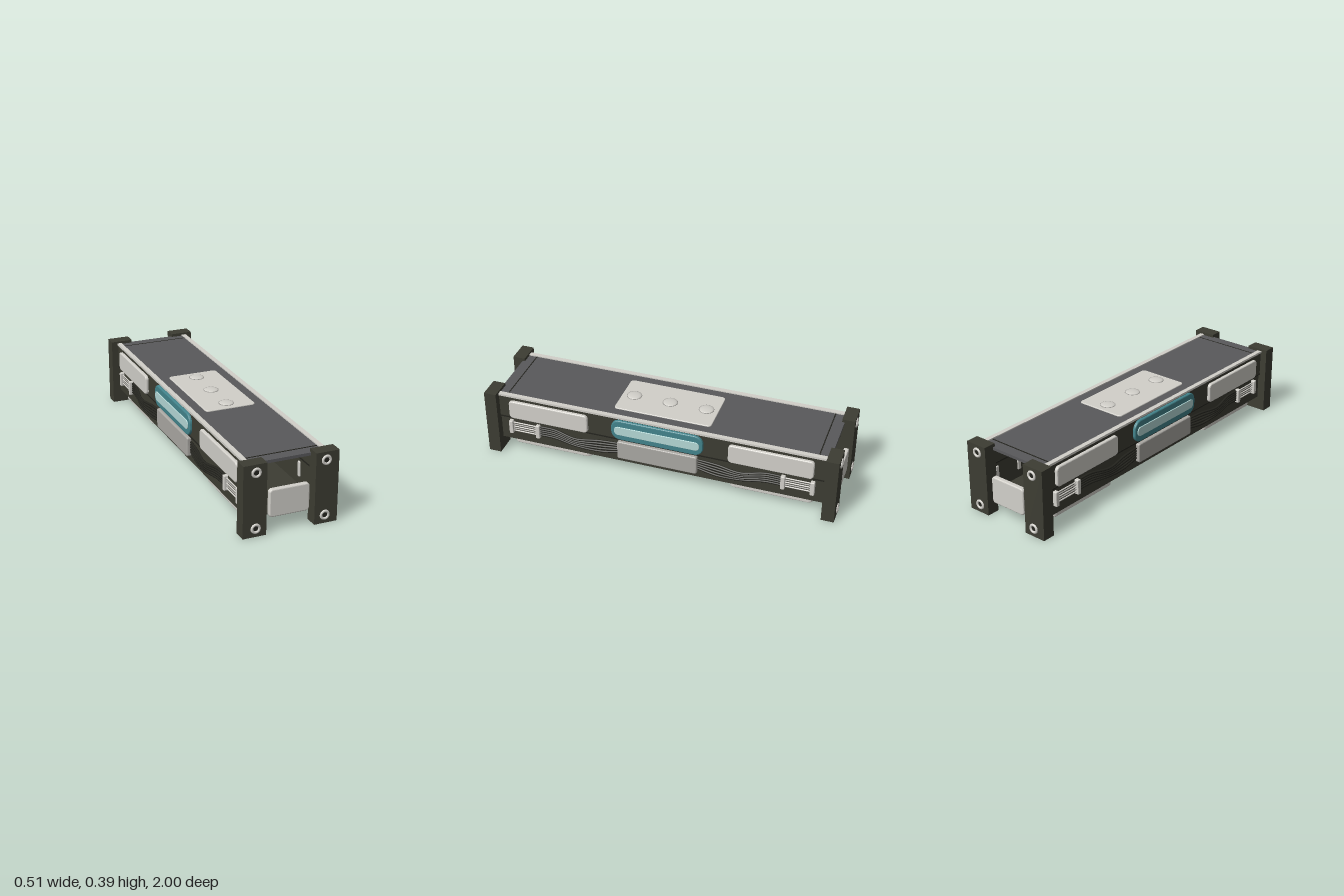
import * as THREE from 'three';

const mat = (name, color) => {
  const m = new THREE.MeshStandardMaterial({ color });
  m.name = name;
  return m;
};

export function createModel() {
  const dark = mat('darkFrame', 0x3d3d33);
  const black = mat('blackCable', 0x25251f);
  const roof = mat('roofGrey', 0x59595b);
  const light = mat('lightPanel', 0xd2d0ca);
  const mid = mat('midGrey', 0xaaa8a3);
  const teal = mat('tealFrame', 0x43848c);
  const glow = mat('paleWindow', 0xb4d8d6);

  const model = new THREE.Group();
  model.name = 'corridorModule';

  const add = (parent, name, geo, material, x = 0, y = 0, z = 0) => {
    const mesh = new THREE.Mesh(geo, material);
    mesh.name = name;
    mesh.position.set(x, y, z);
    parent.add(mesh);
    return mesh;
  };
  const box = (w, h, d) => new THREE.BoxGeometry(w, h, d);

  // Rounded, bevelled plate facing +z
  const slab = (w, h, d, r, b = 0.007) => {
    const x = w / 2, y = h / 2;
    const s = new THREE.Shape();
    s.moveTo(-x + r, -y);
    s.lineTo(x - r, -y).absarc(x - r, -y + r, r, -Math.PI / 2, 0);
    s.lineTo(x, y - r).absarc(x - r, y - r, r, 0, Math.PI / 2);
    s.lineTo(-x + r, y).absarc(-x + r, y - r, r, Math.PI / 2, Math.PI);
    s.lineTo(-x, -y + r).absarc(-x + r, -y + r, r, Math.PI, Math.PI * 1.5);
    return new THREE.ExtrudeGeometry(s, {
      depth: d - 2 * b, bevelThickness: b, bevelSize: b, bevelOffset: -b,
      bevelSegments: 3, curveSegments: 6,
    }).translate(0, 0, b - d / 2);
  };
  const sideSlab = (...a) => slab(...a).rotateY(Math.PI / 2);
  const flatSlab = (...a) => slab(...a).rotateX(-Math.PI / 2);

  // Long side: wall, fascia panels, window, cable run
  const makeSide = () => {
    const side = new THREE.Group();
    side.name = 'side';
    add(side, 'upperWall', box(0.022, 0.135, 1.86), dark, 0.207, 0.295);
    add(side, 'lowerWall', box(0.016, 0.15, 1.86), dark, 0.202, 0.153);
    add(side, 'wallLedge', box(0.026, 0.008, 1.86), black, 0.207, 0.229);
    add(side, 'topRail', box(0.026, 0.012, 1.86), light, 0.209, 0.37);
    add(side, 'windowFrame', sideSlab(0.52, 0.125, 0.026, 0.05), teal, 0.22, 0.297);
    add(side, 'windowStrip', sideSlab(0.48, 0.052, 0.008, 0.022, 0.002), glow, 0.234, 0.296);
    add(side, 'lowerPanel', sideSlab(0.455, 0.112, 0.028, 0.012), mid, 0.221, 0.165);

    for (const s of [-1, 1]) {
      add(side, 'upperPanel', sideSlab(0.465, 0.112, 0.026, 0.022), light, 0.222, 0.29, s * 0.63);
      for (const z of [0.7, 0.86])
        add(side, 'cableClamp', sideSlab(0.024, 0.084, 0.045, 0.006, 0.004), light, 0.21, 0.168, s * z);
      for (let i = 0; i < 5; i++) {
        const y = 0.142 + i * 0.0135;
        add(side, 'clampedRod', new THREE.CylinderGeometry(0.004, 0.004, 0.15, 8).rotateX(Math.PI / 2),
          i % 2 ? mid : light, 0.217, y, s * 0.78);
        // Slack cable between clamp and lower panel
        const path = new THREE.CatmullRomCurve3([
          [0.212, y, 0.7], [0.218, y + 0.004, 0.6], [0.235, y - 0.006 - i * 0.002, 0.47],
          [0.222, y - 0.02 + i * 0.004, 0.34], [0.21, y - 0.004, 0.21],
        ].map(([px, py, pz]) => new THREE.Vector3(px, py, s * pz)));
        add(side, 'slackCable', new THREE.TubeGeometry(path, 24, 0.0065, 8), black);
      }
    }
    return side;
  };

  // End: two posts with ring bolts and a barrier plate
  const makeEnd = () => {
    const end = new THREE.Group();
    end.name = 'end';
    for (const s of [-1, 1]) {
      add(end, 'cornerPost', box(0.126, 0.387, 0.07), dark, s * 0.194, 0.1935, 0.959);
      for (const y of [0.045, 0.344]) {
        add(end, 'ringBolt', new THREE.TorusGeometry(0.0205, 0.0075, 8, 16), light, s * 0.188, y, 0.9935);
        add(end, 'boltCore', new THREE.CircleGeometry(0.017, 16), black, s * 0.188, y, 0.9945);
      }
    }
    add(end, 'barrierPlate', slab(0.218, 0.15, 0.028, 0.018), light, 0, 0.155, 0.967);
    add(end, 'roofEndBand', box(0.39, 0.016, 0.06), roof, 0, 0.362, 0.908);
    add(end, 'roofSeam', box(0.39, 0.003, 0.006), black, 0, 0.3705, 0.876);
    add(end, 'floorPlate', flatSlab(0.39, 0.465, 0.035, 0.03), light, 0, 0.06, 0.63);
    return end;
  };

  for (const turn of [0, Math.PI]) {
    for (const part of [makeSide(), makeEnd()]) {
      part.rotation.y = turn;
      model.add(part);
    }
  }

  // Roof and floor skins
  add(model, 'roofSkin', box(0.39, 0.016, 1.756), roof, 0, 0.363);
  add(model, 'floorSkin', box(0.41, 0.006, 1.86), dark, 0, 0.077);

  // Service plates with three shallow domes, on the roof and beneath the floor
  const dome = new THREE.SphereGeometry(0.04, 20, 5, 0, Math.PI * 2, 0, Math.PI / 2).scale(1, 0.2, 1);
  const rim = new THREE.TorusGeometry(0.04, 0.0025, 6, 24).rotateX(Math.PI / 2);
  add(model, 'roofServicePlate', flatSlab(0.285, 0.55, 0.012, 0.02, 0.004), light, 0, 0.371);
  add(model, 'floorServicePlate', flatSlab(0.285, 0.55, 0.02, 0.02, 0.004), mid, 0, 0.062);
  for (const z of [-0.207, 0, 0.207]) {
    add(model, 'roofDome', dome, light, 0, 0.377, z);
    add(model, 'roofDomeRim', rim, mid, 0, 0.377, z);
    add(model, 'floorDomeRim', rim, mid, 0, 0.052, z);
  }
  return model;
}
